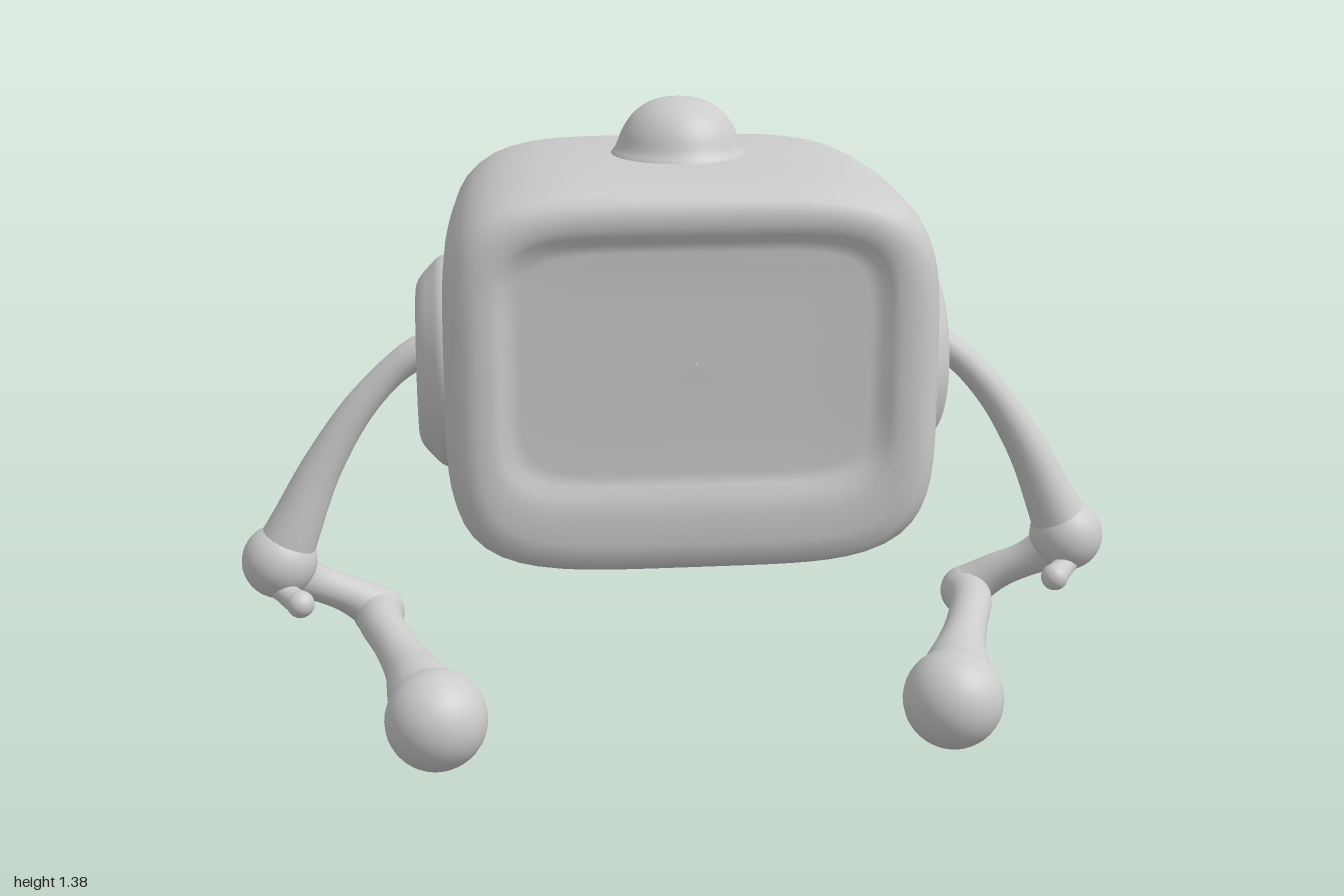
import * as THREE from 'three';
import { mergeVertices } from 'three/addons/utils/BufferGeometryUtils.js';

const material = new THREE.MeshStandardMaterial({ color: 0xcccccc });

function add(parent, name, geometry, position = [0, 0, 0]) {
  const mesh = new THREE.Mesh(geometry, material);
  mesh.name = name;
  mesh.position.set(...position);
  parent.add(mesh);
  return mesh;
}

// Superellipse sections along z: [z, halfWidth, halfHeight, centreY, exponent]
function loft(sections, sides = 96) {
  const pos = [], index = [];
  for (const [z, w, h, cy, n] of sections) {
    for (let j = 0; j < sides; j++) {
      const t = (j / sides) * Math.PI * 2, c = Math.cos(t), s = Math.sin(t);
      const r = (Math.abs(c) ** n + Math.abs(s) ** n) ** (-1 / n);
      pos.push(w * c * r, cy + h * s * r, z);
    }
  }
  for (let i = 0; i < sections.length - 1; i++) {
    for (let j = 0; j < sides; j++) {
      const a = i * sides + j, b = i * sides + (j + 1) % sides;
      index.push(a, b, b + sides, a, b + sides, a + sides);
    }
  }
  const g = new THREE.BufferGeometry();
  g.setAttribute('position', new THREE.Float32BufferAttribute(pos, 3));
  g.setIndex(index);
  g.computeVertexNormals();
  return g;
}

// Smooth tube whose thickness varies; nodes are [x, y, z, radius]
function limb(nodes, side) {
  const steps = 28, sides = 20;
  const curve = new THREE.CatmullRomCurve3(nodes.map(([x, y, z]) => new THREE.Vector3(x * side, y, z)));
  const radii = new THREE.CatmullRomCurve3(nodes.map((n, i) => new THREE.Vector3(n[3], i, 0)));
  const g = new THREE.TubeGeometry(curve, steps, 1, sides);
  const p = g.attributes.position, v = new THREE.Vector3();
  for (let k = 0; k < p.count; k++) {
    const u = Math.floor(k / (sides + 1)) / steps;
    const centre = curve.getPointAt(u), r = radii.getPoint(u).x;
    v.fromBufferAttribute(p, k).sub(centre).multiplyScalar(r).add(centre);
    p.setXYZ(k, v.x, v.y, v.z);
  }
  g.deleteAttribute('uv');
  g.deleteAttribute('normal');
  const merged = mergeVertices(g, 1e-5);
  merged.computeVertexNormals();
  return merged;
}

function lathe(points) {
  const curve = new THREE.SplineCurve(points.map(([r, y]) => new THREE.Vector2(r, y)));
  const profile = curve.getPoints(36);
  profile.forEach((p) => { p.x = Math.max(p.x, 0); });
  return new THREE.LatheGeometry(profile, 56);
}

export function createModel() {
  const model = new THREE.Group();
  model.name = 'robot';

  // Softly bulging box with a shallow recessed screen in front
  add(model, 'body', loft([
    [-0.475, 0.001, 0.001, 0.83, 4.6],
    [-0.475, 0.25, 0.20, 0.83, 4.6],
    [-0.473, 0.42, 0.345, 0.83, 4.6],
    [-0.468, 0.46, 0.385, 0.83, 4.6],
    [-0.455, 0.488, 0.403, 0.83, 4.6],
    [-0.43, 0.503, 0.413, 0.83, 4.6],
    [-0.35, 0.512, 0.422, 0.83, 4.6],
    [-0.2, 0.52, 0.43, 0.83, 4.6],
    [-0.05, 0.527, 0.433, 0.83, 4.6],
    [0.1, 0.529, 0.43, 0.83, 4.6],
    [0.22, 0.528, 0.424, 0.83, 4.6],
    [0.29, 0.522, 0.416, 0.83, 4.6],
    [0.32, 0.508, 0.406, 0.83, 4.6],
    [0.338, 0.488, 0.388, 0.832, 4.8],
    [0.346, 0.46, 0.355, 0.84, 5],
    [0.345, 0.43, 0.31, 0.86, 5.5],
    [0.338, 0.412, 0.282, 0.87, 6],
    [0.326, 0.395, 0.262, 0.873, 6],
    [0.32, 0.37, 0.24, 0.875, 6],
    [0.32, 0.2, 0.13, 0.875, 6],
    [0.321, 0.001, 0.001, 0.875, 6],
  ]));

  // Dome on top with a small flared foot
  add(model, 'topDome', lathe([
    [0.165, 1.235], [0.15, 1.262], [0.138, 1.28], [0.122, 1.318],
    [0.096, 1.352], [0.055, 1.377], [0, 1.386],
  ]), [0, 0, -0.055]);

  for (const side of [1, -1]) {
    const arm = new THREE.Group();
    arm.name = side > 0 ? 'leftArm' : 'rightArm';
    model.add(arm);

    // Dished shoulder disc
    const socket = add(arm, 'shoulderSocket', lathe([
      [0.245, 0.46], [0.238, 0.525], [0.215, 0.555], [0.18, 0.583], [0.145, 0.587],
      [0.115, 0.57], [0.08, 0.552], [0.04, 0.55], [0, 0.55],
    ]), [0, 0.8, -0.05]);
    socket.rotation.z = -side * Math.PI / 2;

    // Limbs
    add(arm, 'upperArm', limb([
      [0.52, 0.84, -0.045, 0.045], [0.6, 0.815, -0.043, 0.034], [0.71, 0.715, -0.04, 0.037],
      [0.81, 0.565, -0.035, 0.044], [0.875, 0.43, -0.03, 0.055], [0.912, 0.35, -0.03, 0.07],
    ], side));
    add(arm, 'elbowLink', limb([
      [0.9, 0.32, -0.035, 0.06], [0.83, 0.275, -0.06, 0.042],
      [0.765, 0.235, -0.09, 0.044], [0.7, 0.185, -0.115, 0.055],
    ], side));
    add(arm, 'forearm', limb([
      [0.7, 0.178, -0.115, 0.057], [0.69, 0.185, -0.02, 0.05], [0.655, 0.172, 0.09, 0.048],
      [0.615, 0.148, 0.2, 0.056], [0.585, 0.125, 0.3, 0.078], [0.57, 0.116, 0.355, 0.095],
    ], side));
    add(arm, 'thumbNub', limb([
      [0.915, 0.3, -0.01, 0.04], [0.89, 0.282, 0.035, 0.027], [0.865, 0.275, 0.066, 0.029],
    ], side));

    // Round joints and hand
    const balls = [
      ['elbow', 0.915, 0.345, -0.03, 0.085],
      ['wristJoint', 0.7, 0.18, -0.113, 0.06],
      ['thumbTip', 0.865, 0.275, 0.068, 0.031],
      ['hand', 0.565, 0.112, 0.364, 0.111],
    ];
    for (const [name, x, y, z, r] of balls) {
      add(arm, name, new THREE.SphereGeometry(r, 32, 20), [x * side, y, z]);
    }
  }
  return model;
}
